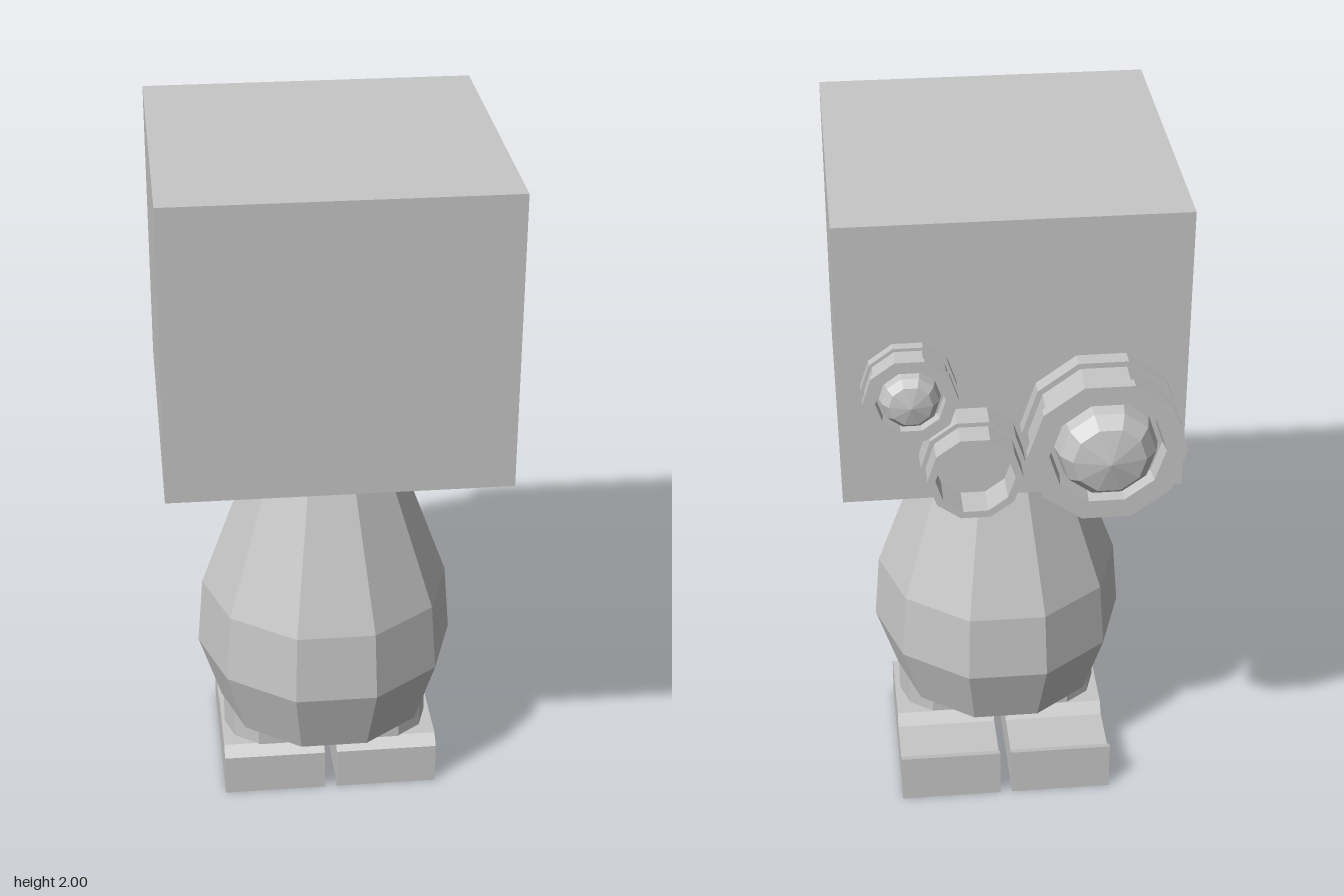
import * as THREE from 'three';

const gray = new THREE.MeshStandardMaterial({ color: 0xc6c6c6, flatShading: true });
gray.name = 'plain gray';

function part(name, geometry, x = 0, y = 0, z = 0) {
  const mesh = new THREE.Mesh(geometry, gray);
  mesh.name = name;
  mesh.position.set(x, y, z);
  return mesh;
}

// Ten-sided turned shape with corners on the x axis; profile is [radius, height] from bottom to top
function turned(profile) {
  const points = profile.map(([r, h]) => new THREE.Vector2(r, h));
  return new THREE.LatheGeometry(points, 10, Math.PI / 2);
}

// Turned shape whose axis points backwards out of the head
function faceMount(name, profile, x, y, scale = 1) {
  const mesh = part(name, turned(profile), x, y, -0.35);
  mesh.rotation.x = -Math.PI / 2;
  mesh.scale.setScalar(scale);
  return mesh;
}

export function createModel() {
  const model = new THREE.Group();
  model.name = 'boxHeadedFigure';

  // Square head
  model.add(part('head', new THREE.BoxGeometry(0.926, 0.825, 0.92), -0.002, 1.5875, 0.11));

  // Neck collar and barrel-shaped body
  model.add(part('collar', turned([[0, 1.06], [0.242, 1.06], [0.242, 1.175], [0, 1.175]]), -0.002, 0, 0.114));
  model.add(part('body', turned([
    [0, 0.25], [0.308, 0.25], [0.373, 0.45], [0.357, 0.65], [0.208, 1.06], [0, 1.06],
  ]), 0, 0, 0.113));

  // Eyes: flanged housing, recessed rim and domed lens
  const eye = [
    [0.214, 0], [0.214, 0.045], [0.198, 0.045], [0.198, 0.134], [0.212, 0.134], [0.212, 0.166],
    [0.155, 0.166], [0.15, 0.12], [0.137, 0.12], [0.127, 0.166], [0.097, 0.202], [0, 0.224],
  ];
  model.add(faceMount('largeEye', eye, -0.233, 1.395));
  model.add(faceMount('smallEye', eye, 0.276, 1.54, 0.59));

  // Stepped hollow nozzle between the eyes
  const nozzle = [
    [0.14, 0], [0.14, 0.074], [0.127, 0.074], [0.127, 0.142], [0.106, 0.142], [0.106, 0.05], [0, 0.05],
  ];
  model.add(faceMount('nozzle', nozzle, 0.113, 1.32));

  // Foot side outline as [z, y], extruded across the foot
  const outline = [
    [0.272, 0], [0.272, 0.125], [0.24, 0.152], [-0.02, 0.152], [-0.047, 0.12],
    [-0.21, 0.12], [-0.223, 0.15], [-0.243, 0.155], [-0.243, 0],
  ];
  const footShape = new THREE.Shape(outline.map(([z, y]) => new THREE.Vector2(-z, y)));
  const footGeometry = new THREE.ExtrudeGeometry(footShape, { depth: 0.298, bevelEnabled: false });
  footGeometry.translate(0, 0, -0.149);
  footGeometry.rotateY(Math.PI / 2);
  const legGeometry = turned([[0.137, 0.14], [0.137, 0.26]]);

  for (const [side, x] of [['right', -0.162], ['left', 0.172]]) {
    model.add(part(side + 'Leg', legGeometry, x - 0.003, 0, 0.113));
    model.add(part(side + 'Foot', footGeometry, x));
  }
  return model;
}
